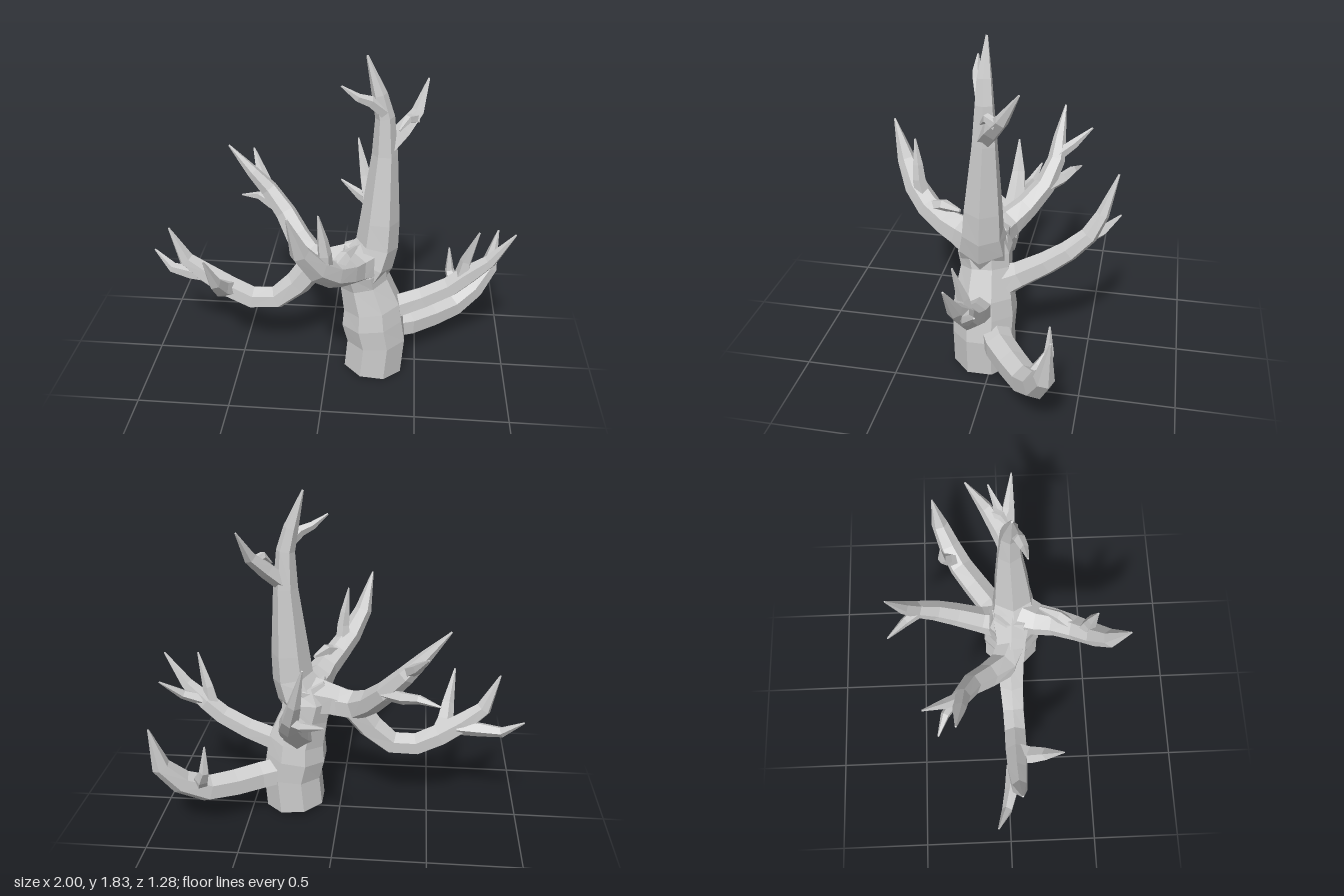
import * as THREE from 'three';

const material = new THREE.MeshStandardMaterial({ color: 0xcccccc, flatShading: true });

// Faceted limb lofted through stations [x, y, z, radius], with closed ends
function limb(name, stations, sides = 6) {
  const pts = stations.map(([x, y, z]) => new THREE.Vector3(x, y, z));
  const last = pts.length - 1;
  const pos = [], index = [];
  const side = new THREE.Vector3(0, 0, 1);
  const first = pts[1].clone().sub(pts[0]).normalize();
  if (Math.abs(first.z) > 0.8) side.set(1, 0, 0);
  pts.forEach((p, i) => {
    const tangent = new THREE.Vector3();
    if (i < last) tangent.add(pts[i + 1].clone().sub(p).normalize());
    if (i > 0) tangent.add(p.clone().sub(pts[i - 1]).normalize());
    tangent.normalize();
    // carry the frame along the path without twisting
    side.addScaledVector(tangent, -side.dot(tangent)).normalize();
    const up = tangent.clone().cross(side);
    for (let k = 0; k < sides; k++) {
      const a = ((k + 0.5) / sides) * Math.PI * 2;
      const v = p.clone()
        .addScaledVector(side, Math.cos(a) * stations[i][3])
        .addScaledVector(up, Math.sin(a) * stations[i][3]);
      pos.push(v.x, v.y, v.z);
    }
  });
  for (let i = 0; i < last; i++) {
    for (let k = 0; k < sides; k++) {
      const a = i * sides + k, b = i * sides + ((k + 1) % sides);
      index.push(a, b, a + sides, b, b + sides, a + sides);
    }
  }
  for (let k = 1; k < sides - 1; k++) {
    const e = last * sides;
    index.push(0, k + 1, k, e, e + k, e + k + 1);
  }
  const geometry = new THREE.BufferGeometry();
  geometry.setAttribute('position', new THREE.Float32BufferAttribute(pos, 3));
  geometry.setIndex(index);
  geometry.computeVertexNormals();
  const mesh = new THREE.Mesh(geometry, material);
  mesh.name = name;
  return mesh;
}

export function createModel() {
  const tree = new THREE.Group();
  tree.name = 'bareTree';

  // Each branch group holds its main limb first, then its twigs
  const branch = (name, main, ...twigs) => {
    const g = new THREE.Group();
    g.name = name;
    g.add(limb(name + 'Limb', main));
    twigs.forEach((t, i) => g.add(limb(`${name}Twig${i + 1}`, t, 5)));
    tree.add(g);
  };

  // Trunk leans left, swells at the crown, then rises to the leader
  tree.add(limb('trunk', [
    [0.26, 0, 0.05, 0.172], [0.275, 0.19, 0.05, 0.172], [0.25, 0.31, 0.05, 0.178],
    [0.245, 0.41, 0.05, 0.165], [0.2, 0.56, 0.05, 0.14], [0.18, 0.65, 0.06, 0.15],
    [0.2, 0.74, 0.06, 0.12],
  ], 8));

  // Leader with its two forks
  branch('leader',
    [[0.17, 0.6, 0.06, 0.14], [0.23, 0.7, 0.06, 0.135], [0.265, 0.79, 0.055, 0.115],
      [0.275, 0.93, 0.05, 0.105], [0.29, 1.3, 0.035, 0.067], [0.285, 1.5, 0.035, 0.05],
      [0.255, 1.62, 0.04, 0.04], [0.19, 1.815, 0.04, 0.006]],
    [[0.28, 1.53, 0.05, 0.035], [0.21, 1.595, 0.08, 0.03], [0.15, 1.62, 0.1, 0.022], [0.07, 1.68, 0.11, 0.005]],
    [[0.3, 1.33, 0.03, 0.05], [0.38, 1.41, -0.02, 0.047], [0.45, 1.49, -0.08, 0.035], [0.5, 1.64, -0.17, 0.005]],
    [[0.44, 1.46, -0.06, 0.03], [0.4, 1.48, 0, 0.024], [0.36, 1.43, 0.04, 0.005]]);

  // Lowest branch, sweeping left and back
  branch('lowBranch',
    [[0.32, 0.22, -0.01, 0.085], [0.45, 0.21, -0.07, 0.085], [0.58, 0.21, -0.16, 0.082],
      [0.71, 0.225, -0.25, 0.078], [0.83, 0.3, -0.32, 0.068], [0.92, 0.42, -0.37, 0.052],
      [0.96, 0.65, -0.4, 0.005]],
    [[0.74, 0.25, -0.27, 0.045], [0.715, 0.33, -0.33, 0.04], [0.69, 0.39, -0.36, 0.028], [0.68, 0.54, -0.36, 0.005]]);

  // Side branch, straight out to the left
  branch('sideBranch',
    [[0.28, 0.36, 0.05, 0.085], [0.39, 0.39, 0.05, 0.07], [0.53, 0.45, 0.045, 0.064],
      [0.67, 0.53, 0.045, 0.06], [0.76, 0.61, 0.045, 0.056], [0.87, 0.71, 0.06, 0.038],
      [0.99, 0.885, 0.08, 0.005]],
    [[0.73, 0.6, 0.045, 0.045], [0.745, 0.7, 0.05, 0.032], [0.8, 0.89, 0.085, 0.005]],
    [[0.78, 0.63, 0.03, 0.038], [0.88, 0.67, 0, 0.028], [0.99, 0.765, -0.06, 0.005]]);

  // Drooping branch to the right, ending in three prongs
  branch('droopingBranch',
    [[0.2, 0.67, 0.05, 0.13], [0.04, 0.65, 0.04, 0.095], [-0.08, 0.62, 0.03, 0.085],
      [-0.17, 0.5, 0.035, 0.075], [-0.29, 0.4, 0.04, 0.068], [-0.43, 0.395, 0.045, 0.068],
      [-0.56, 0.46, 0.045, 0.068], [-0.68, 0.54, 0.045, 0.06], [-0.79, 0.63, 0.05, 0.045],
      [-0.87, 0.825, 0.06, 0.005]],
    [[-0.56, 0.46, 0.06, 0.055], [-0.585, 0.5, 0.13, 0.05], [-0.6, 0.58, 0.21, 0.036], [-0.635, 0.76, 0.29, 0.005]],
    [[-0.65, 0.52, 0.03, 0.045], [-0.78, 0.52, 0.01, 0.04], [-0.89, 0.525, -0.02, 0.03], [-1.0, 0.61, -0.07, 0.005]]);

  // Rising branch to the right and back
  branch('risingBranch',
    [[0.02, 0.64, 0.04, 0.09], [-0.1, 0.65, -0.01, 0.085], [-0.18, 0.72, -0.1, 0.07],
      [-0.26, 0.82, -0.19, 0.06], [-0.36, 0.94, -0.24, 0.05], [-0.45, 1.04, -0.245, 0.036],
      [-0.58, 1.19, -0.26, 0.005]],
    [[-0.37, 0.96, -0.24, 0.036], [-0.42, 1.02, -0.33, 0.028], [-0.47, 1.105, -0.43, 0.005]],
    [[-0.25, 0.82, -0.2, 0.04], [-0.35, 0.83, -0.28, 0.034], [-0.43, 0.85, -0.33, 0.025], [-0.54, 0.83, -0.37, 0.005]]);

  // Back branch with a forked tip
  branch('backBranch',
    [[0.23, 0.47, -0.02, 0.1], [0.225, 0.53, -0.14, 0.075], [0.23, 0.62, -0.28, 0.066],
      [0.225, 0.7, -0.39, 0.058], [0.2, 0.79, -0.49, 0.048], [0.17, 0.9, -0.55, 0.036],
      [0.12, 1.11, -0.62, 0.005]],
    [[0.2, 0.77, -0.47, 0.04], [0.13, 0.78, -0.55, 0.028], [0.02, 0.825, -0.64, 0.005]]);

  // Front branch with an upright twig and a short spur
  branch('frontBranch',
    [[0.2, 0.69, 0.08, 0.12], [0.14, 0.71, 0.2, 0.09], [0.11, 0.74, 0.29, 0.078],
      [0.05, 0.79, 0.4, 0.07], [-0.02, 0.87, 0.49, 0.064], [-0.09, 1.0, 0.56, 0.05],
      [-0.14, 1.215, 0.63, 0.005]],
    [[0.02, 0.83, 0.44, 0.045], [0.02, 0.94, 0.46, 0.036], [0.01, 1.02, 0.465, 0.028], [-0.01, 1.16, 0.48, 0.005]],
    [[0.06, 0.8, 0.38, 0.04], [0.11, 0.84, 0.3, 0.034], [0.16, 0.84, 0.2, 0.01]]);

  return tree;
}
